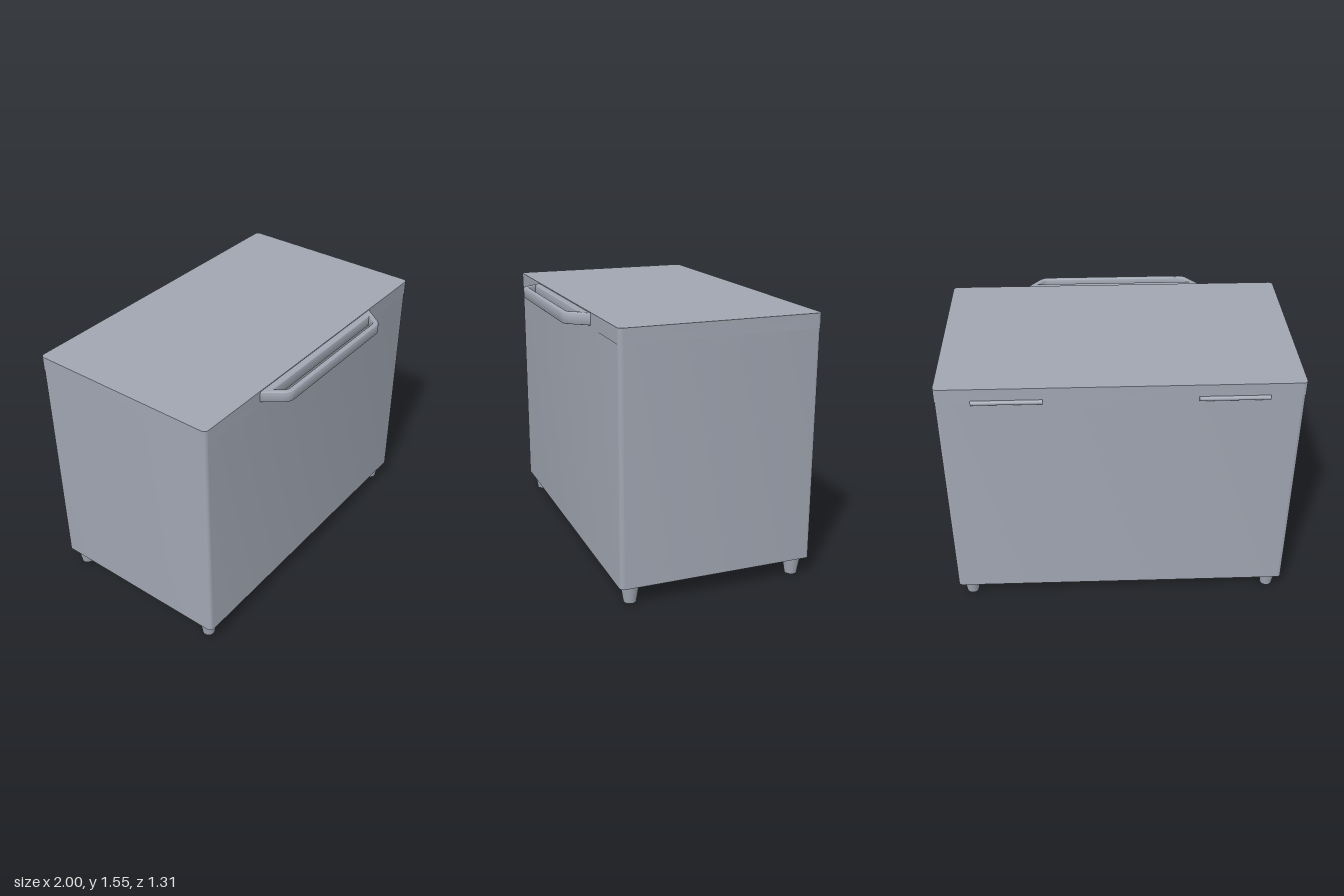
import * as THREE from 'three';
import { toCreasedNormals } from 'three/addons/utils/BufferGeometryUtils.js';

const Z_BODY = -0.0575; // the case sits slightly back because of the handle

// Vertical box with rounded upright edges, from y0 to y1
function roundedSlab(w, d, r, y0, y1) {
  const x = w / 2, y = d / 2;
  const s = new THREE.Shape();
  s.absarc(x - r, y - r, r, 0, Math.PI / 2);
  s.absarc(-x + r, y - r, r, Math.PI / 2, Math.PI);
  s.absarc(-x + r, -y + r, r, Math.PI, Math.PI * 1.5);
  s.absarc(x - r, -y + r, r, Math.PI * 1.5, Math.PI * 2);
  const g = new THREE.ExtrudeGeometry(s, { depth: y1 - y0, bevelEnabled: false, curveSegments: 5 });
  g.rotateX(-Math.PI / 2).translate(0, y0, Z_BODY);
  return toCreasedNormals(g, 0.6);
}

// Trapezoid outline with rounded front corners; a shape or a hole
function trapezoid(target, back, zBack, front, zFront, r) {
  const k = (back - front) / (zFront - zBack);
  target.moveTo(-back, zBack);
  target.lineTo(back, zBack);
  target.lineTo(front + r * k, zFront - r);
  target.quadraticCurveTo(front, zFront, front - r * 1.3, zFront);
  target.lineTo(-front + r * 1.3, zFront);
  target.quadraticCurveTo(-front, zFront, -front - r * k, zFront - r);
  target.closePath();
  return target;
}

export function createModel() {
  const group = new THREE.Group();
  const metal = new THREE.MeshStandardMaterial({ color: 0xa0a6b2 });
  metal.name = 'grey metal';

  const add = (name, geometry, x = 0, y = 0, z = 0) => {
    const mesh = new THREE.Mesh(geometry, metal);
    mesh.name = name;
    mesh.position.set(x, y, z);
    group.add(mesh);
    return mesh;
  };

  // Case and lid
  add('body', roundedSlab(1.996, 1.161, 0.025, 0.11, 1.465));
  add('lid', roundedSlab(2, 1.165, 0.025, 1.465, 1.55));

  // Front handle: back rail and bar around a long opening
  const outline = trapezoid(new THREE.Shape(), 0.555, 0.515, 0.45, 0.655, 0.03);
  outline.holes.push(trapezoid(new THREE.Path(), 0.475, 0.565, 0.435, 0.62, 0.02));
  const b = 0.012;
  const handle = new THREE.ExtrudeGeometry(outline, {
    depth: 0.068 - 2 * b, bevelThickness: b, bevelSize: b, bevelOffset: -b,
    bevelSegments: 4, curveSegments: 6,
  });
  handle.rotateX(Math.PI / 2).translate(0, 1.545 - b, 0);
  add('handle', toCreasedNormals(handle, 0.7));

  // Hinge pins at the back seam
  const pin = new THREE.CylinderGeometry(0.013, 0.013, 0.385, 20).rotateZ(Math.PI / 2);
  add('leftHinge', pin, 0.6125, 1.465, -0.642);
  add('rightHinge', pin, -0.6125, 1.465, -0.642);

  // Tapered feet
  const foot = new THREE.CylinderGeometry(0.054, 0.036, 0.11, 28);
  for (const [side, x] of [['left', 0.925], ['right', -0.925]]) {
    add(side + 'FrontFoot', foot, x, 0.055, 0.445);
    add(side + 'BackFoot', foot, x, 0.055, -0.56);
  }
  return group;
}
